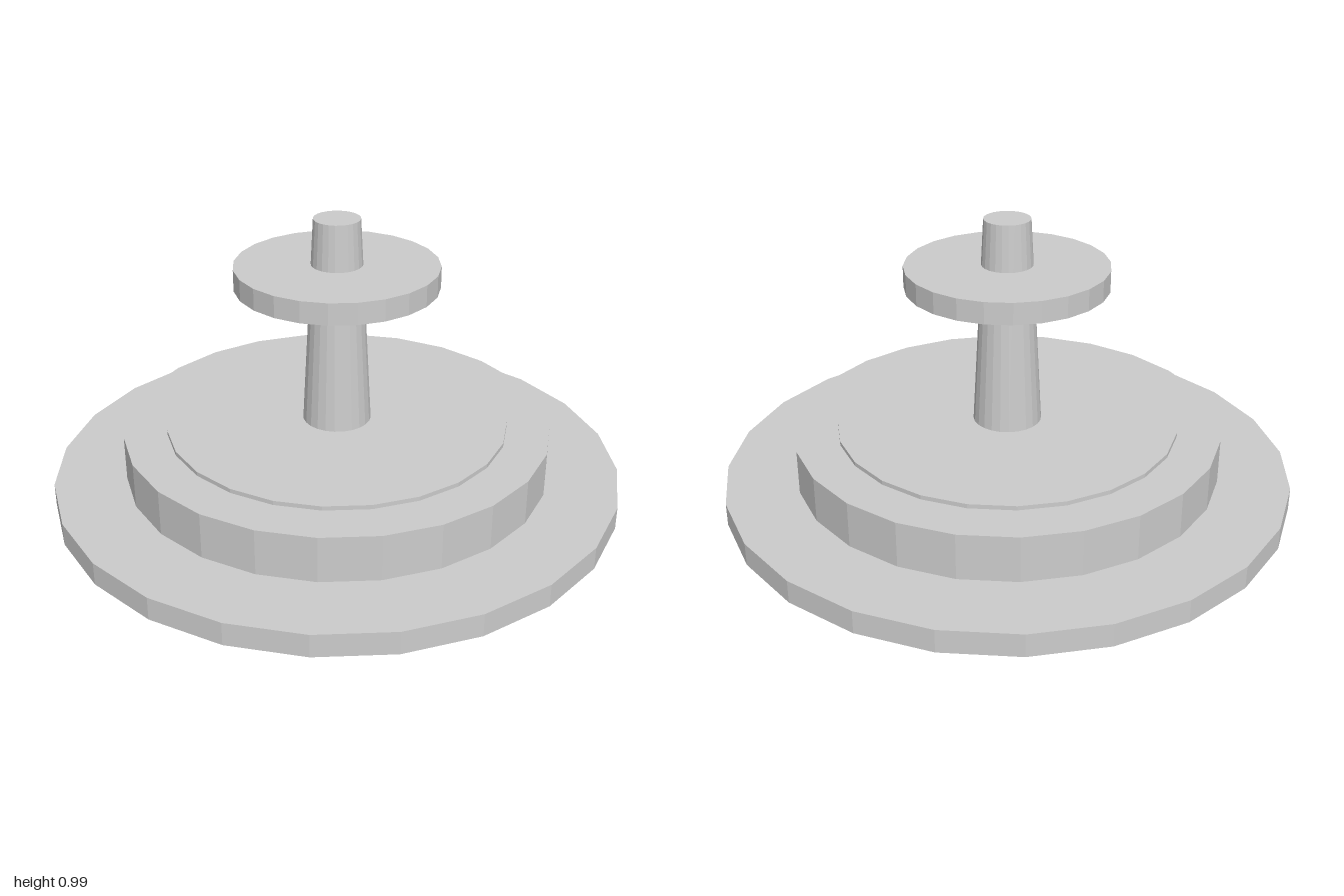
import * as THREE from 'three';

export function createModel() {
  const group = new THREE.Group();
  const grey = new THREE.MeshStandardMaterial({ color: 0xcccccc, flatShading: true });
  grey.name = 'light grey';

  // Faceted round part between two heights
  function addRound(name, bottomY, topY, bottomRadius, topRadius = bottomRadius) {
    const height = topY - bottomY;
    const mesh = new THREE.Mesh(
      new THREE.CylinderGeometry(topRadius, bottomRadius, height, 24), grey);
    mesh.name = name;
    mesh.position.y = bottomY + height / 2;
    group.add(mesh);
  }

  // Stepped base
  addRound('baseFlange', 0, 0.08, 1);
  addRound('baseDrum', 0.08, 0.24, 0.75);
  addRound('topPlate', 0.24, 0.255, 0.6);

  // Tapered post passing through the upper disc
  addRound('taperedPost', 0.255, 0.99, 0.12, 0.08);
  addRound('upperDisc', 0.755, 0.83, 0.35);

  return group;
}
